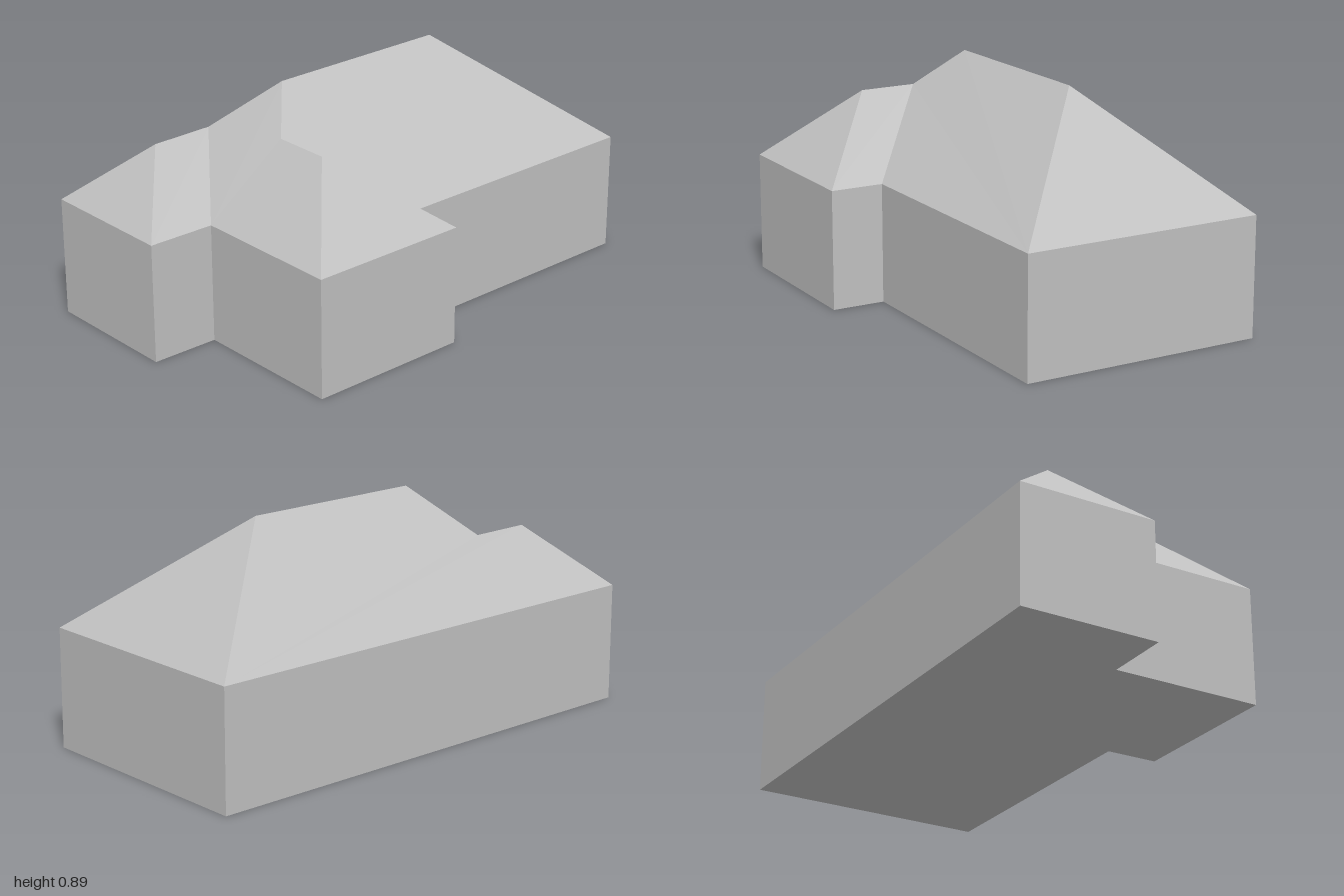
import * as THREE from 'three';

const EAVE = 0.465;

// Footprint corners [x, z]
const corner = {
  backRight: [-0.97, -0.61], backLeft: [1.0, -0.5], frontLeft: [0.945, 0.455],
  innerFront: [-0.11, 0.395], wingLeft: [-0.125, 0.603], wingRight: [-0.77, 0.565],
  innerSide: [-0.735, -0.04], sideFront: [-1.0, -0.06],
};

// Ridge ends [x, y, z]
const ridge = {
  mainLeft: [0.445, 0.89, -0.07], mainRight: [-0.31, 0.89, -0.108],
  wingBack: [-0.457, 0.745, 0.04], wingFront: [-0.47, 0.745, 0.265],
  sideInner: [-0.49, 0.7, -0.32], sideOuter: [-0.74, 0.7, -0.33],
};

// Roof planes, counter-clockwise from above, fanned from the first point
const planes = {
  mainRoofBack: ['backLeft', 'backRight', 'sideOuter', 'sideInner', 'mainRight', 'mainLeft'],
  mainRoofHip: ['backLeft', 'mainLeft', 'frontLeft'],
  mainRoofFront: ['frontLeft', 'mainLeft', 'mainRight', 'wingBack', 'innerFront'],
  wingRoofLeft: ['wingLeft', 'innerFront', 'wingBack', 'wingFront'],
  wingRoofHip: ['wingRight', 'wingLeft', 'wingFront'],
  wingRoofRight: ['innerSide', 'wingRight', 'wingFront', 'wingBack', 'mainRight', 'sideInner'],
  sideRoofFront: ['sideFront', 'innerSide', 'sideInner', 'sideOuter'],
  sideRoofHip: ['backRight', 'sideFront', 'sideOuter'],
};

function roofPlane(names) {
  const pts = names.map((n) => ridge[n] ?? [corner[n][0], EAVE, corner[n][1]]);
  const pos = [];
  for (let i = 1; i < pts.length - 1; i++) pos.push(...pts[0], ...pts[i], ...pts[i + 1]);
  const geo = new THREE.BufferGeometry();
  geo.setAttribute('position', new THREE.Float32BufferAttribute(pos, 3));
  geo.computeVertexNormals();
  return geo;
}

export function createModel() {
  const house = new THREE.Group();
  house.name = 'house';
  const grey = new THREE.MeshStandardMaterial({ color: 0xc0c0c0 });
  grey.name = 'light grey';

  // Walls and floor
  const outline = new THREE.Shape(
    Object.values(corner).map(([x, z]) => new THREE.Vector2(x, -z)));
  const wallGeo = new THREE.ExtrudeGeometry(outline, { depth: EAVE, bevelEnabled: false });
  wallGeo.rotateX(-Math.PI / 2);
  const walls = new THREE.Mesh(wallGeo, grey);
  walls.name = 'walls';
  house.add(walls);

  // Hipped roof
  const roof = new THREE.Group();
  roof.name = 'roof';
  for (const [name, names] of Object.entries(planes)) {
    const mesh = new THREE.Mesh(roofPlane(names), grey);
    mesh.name = name;
    roof.add(mesh);
  }
  house.add(roof);
  return house;
}
